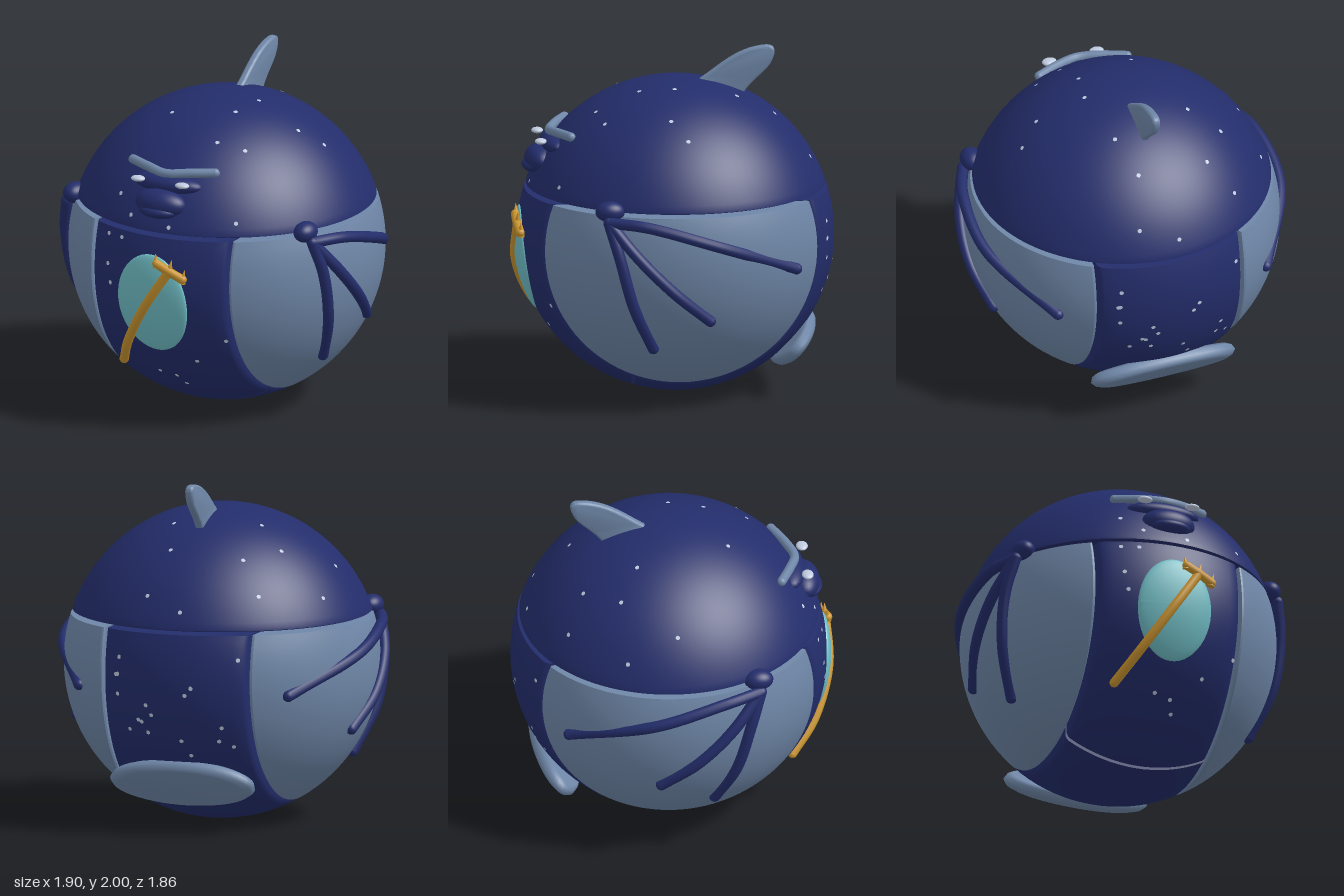
import * as THREE from 'three';
import { toCreasedNormals } from 'three/addons/utils/BufferGeometryUtils.js';

const R = 0.91, CY = 0.91, CZ = -0.02; // main ball
const CUT = 1.18 - CY;                 // height of the body's flat top above the ball centre

const mat = (name, color) => {
  const m = new THREE.MeshStandardMaterial({ color });
  m.name = name;
  return m;
};

// point on the ball (plus lift) above a front-facing x,y or a side-facing z,y
function onFront(x, y, lift = 0) {
  const r = R + lift, dy = y - CY;
  return new THREE.Vector3(x, y, CZ + Math.sqrt(Math.max(0, r * r - x * x - dy * dy)));
}
function onSide(s, z, y, lift = 0) {
  const r = R + lift, dy = y - CY, dz = z - CZ;
  return new THREE.Vector3(s * Math.sqrt(Math.max(0, r * r - dz * dz - dy * dy)), y, z);
}

// closed solid through cross-sections ordered along +x
function loft(rings) {
  const pos = [], n = rings[0].length;
  const tri = (...ps) => ps.forEach((p) => pos.push(p.x, p.y, p.z));
  for (let i = 0; i < rings.length - 1; i++) {
    for (let j = 0; j < n; j++) {
      const k = (j + 1) % n, a = rings[i], b = rings[i + 1];
      tri(a[j], a[k], b[j]);
      tri(a[k], b[k], b[j]);
    }
  }
  [rings[0], rings[rings.length - 1]].forEach((ring, e) => {
    const c = ring.reduce((v, p) => v.add(p), new THREE.Vector3()).divideScalar(n);
    for (let j = 0; j < n; j++) {
      const k = (j + 1) % n;
      if (e) tri(c, ring[j], ring[k]); else tri(c, ring[k], ring[j]);
    }
  });
  const g = new THREE.BufferGeometry();
  g.setAttribute('position', new THREE.Float32BufferAttribute(pos, 3));
  return toCreasedNormals(g, 0.5);
}

// one slice of the ball at x: an arc, plus an optional corner inside
function slice(x, r, range, cornerZ) {
  const [t0, t1] = range(r), pts = [];
  for (let i = 0; i <= 56; i++) {
    const t = t0 + (t1 - t0) * i / 56;
    pts.push(new THREE.Vector3(x, CY + r * Math.cos(t), CZ + r * Math.sin(t)));
  }
  if (cornerZ !== undefined) pts.push(new THREE.Vector3(x, CY + CUT, CZ + cornerZ));
  return pts;
}
const ballR = (x) => Math.sqrt(Math.max(1e-6, R * R - x * x));
const topAngle = (r) => Math.acos(Math.min(1, CUT / r));

export function createModel() {
  const model = new THREE.Group();
  const navy = mat('navy', 0x232d6b), grey = mat('blueGrey', 0x6f87a8), teal = mat('teal', 0x70bfc7);
  const gold = mat('gold', 0xcb952f), pale = mat('paleStar', 0xbfcbe0);

  const add = (name, geo, material, p = [0, 0, 0], scale = [1, 1, 1], parent = model) => {
    const m = new THREE.Mesh(geo, material);
    m.name = name;
    m.position.set(...p);
    m.scale.set(...scale);
    parent.add(m);
    return m;
  };
  const blob = (name, material, p, radii) => add(name, new THREE.SphereGeometry(1, 32, 20), material, p, radii);
  // round-ended rod along points
  const rod = (name, pts, r, material) => {
    const g = new THREE.Group();
    g.name = name;
    add(name + 'Shaft', new THREE.TubeGeometry(new THREE.CatmullRomCurve3(pts), 32, r, 12), material, undefined, undefined, g);
    [pts[0], pts[pts.length - 1]].forEach((p) =>
      add(name + 'End', new THREE.SphereGeometry(r, 14, 10), material, p.toArray(), undefined, g));
    model.add(g);
  };

  // upper dome
  const dome = [[0, 1.2], [0.845, 1.2], [0.858, 1.205]].map((p) => new THREE.Vector2(...p));
  const a0 = Math.asin((1.22 - CY) / R);
  for (let i = 0; i <= 36; i++) {
    const a = a0 + (Math.PI / 2 - a0) * i / 36;
    dome.push(new THREE.Vector2(i === 36 ? 0 : R * Math.cos(a), CY + R * Math.sin(a)));
  }
  add('upperDome', toCreasedNormals(new THREE.LatheGeometry(dome, 96), 0.5), navy, [0, 0, CZ]);

  // middle band, split into a front and a back shell
  const xs = [[-0.43, 0.02], [-0.422, 0.006], [-0.41, 0]];
  for (let i = 1; i < 16; i++) xs.push([-0.41 + 0.82 * i / 16, 0]);
  xs.push([0.41, 0], [0.422, 0.006], [0.43, 0.02]);
  const band = (range, corner) => loft(xs.map(([x, inset]) => slice(x, ballR(x) - inset, range, corner)));
  add('frontBand', band((r) => [topAngle(r), Math.PI - Math.asin(0.28 / r)], 0.28), navy);
  add('backBand', band((r) => [Math.PI - Math.asin(0.26 / r), 2 * Math.PI - topAngle(r)], 0.26), navy);

  // inner connectors seen through the gaps
  add('topConnector', new THREE.BoxGeometry(0.46, 0.1, 0.9), navy, [0, 1.19, 0.2]);
  add('sideConnector', new THREE.CylinderGeometry(0.16, 0.16, 1, 24).rotateZ(Math.PI / 2), navy, [0, 0.81, 0]);

  for (const s of [1, -1]) {
    const side = s > 0 ? 'left' : 'right';
    // side panel
    const px = [[0.447, 0.02], [0.454, 0.006], [0.465, 0]];
    const b0 = Math.asin(0.465 / R);
    for (let i = 1; i <= 30; i++) px.push([R * Math.sin(b0 + (Math.PI / 2 - b0) * i / 30), 0]);
    const rings = px.map(([x, inset]) =>
      slice(s * x, ballR(x) - inset, (r) => [topAngle(r), 2 * Math.PI - topAngle(r)]));
    add(side + 'SidePanel', loft(s > 0 ? rings : rings.reverse()), grey);

    // wing bones fanning over the panel, as [z, y, lift]
    [
      [[0.42, 1.15, 0.04], [0.36, 0.95, 0.02], [0.28, 0.66, 0.01], [0.16, 0.39, 0.005]],
      [[0.42, 1.15, 0.04], [0.25, 0.95, 0.02], [0.05, 0.75, 0.01], [-0.16, 0.57, 0.005]],
      [[0.42, 1.15, 0.04], [0.2, 1.135, 0.035], [-0.2, 1.02, 0.015], [-0.67, 0.825, 0.005]],
    ].forEach((path, i) =>
      rod(side + 'WingBone' + (i + 1), path.map(([z, y, l]) => onSide(s, z, y, l)), 0.033, navy));
    blob(side + 'WingShoulder', navy, onSide(s, 0.41, 1.205, 0.01).toArray(), [0.065, 0.06, 0.085]);

    // eye
    blob(side + 'Eye', pale, [s * 0.145, 1.485, 0.765], [0.043, 0.017, 0.034]);
  }

  // face
  blob('snout', navy, [0, 1.355, 0.755], [0.16, 0.085, 0.095]);
  blob('chin', navy, [0, 1.32, 0.775], [0.125, 0.045, 0.09]);
  blob('eyeRidge', navy, [0, 1.455, 0.67], [0.22, 0.06, 0.09]);
  rod('brow', [[-0.27, 1.535, 0.6], [-0.13, 1.53, 0.665], [0, 1.52, 0.705], [0.13, 1.53, 0.665], [0.27, 1.535, 0.6]]
    .map((p) => new THREE.Vector3(...p)), 0.027, grey);

  // dorsal fin
  const fin = new THREE.Shape();
  fin.moveTo(0.13, 1.79);
  fin.bezierCurveTo(0.25, 1.86, 0.36, 1.99, 0.54, 2.0);
  fin.bezierCurveTo(0.6, 2.0, 0.6, 1.96, 0.57, 1.9);
  fin.bezierCurveTo(0.54, 1.84, 0.46, 1.8, 0.41, 1.72);
  fin.lineTo(0.3, 1.72);
  const finGeo = new THREE.ExtrudeGeometry(fin, {
    depth: 0.014, bevelSize: 0.018, bevelThickness: 0.018, bevelOffset: -0.018, bevelSegments: 4, curveSegments: 16,
  }).translate(0, 0, -0.007).rotateY(Math.PI / 2);
  add('dorsalFin', toCreasedNormals(finGeo, 0.7), grey);

  // tail fin: flat oval lying against the lower back
  const rim = [[0, -0.045], [0.9, -0.045], [0.97, -0.03], [1, 0], [0.95, 0.025], [0.85, 0.04], [0, 0.045]];
  const tail = add('tailFin', new THREE.LatheGeometry(rim.map((p) => new THREE.Vector2(...p)), 48), grey,
    [0, CY - 0.68 * 0.915, CZ - 0.73 * 0.915], [0.44, 1, 0.18]);
  tail.quaternion.setFromUnitVectors(new THREE.Vector3(0, 1, 0), new THREE.Vector3(0, -0.68, -0.73).normalize());

  // belly patch: half ball flattened onto the body
  const belly = new THREE.SphereGeometry(1, 48, 16, 0, Math.PI * 2, 0, Math.PI / 2).rotateX(Math.PI / 2);
  const bp = belly.attributes.position;
  for (let i = 0; i < bp.count; i++) {
    const q = onFront(bp.getX(i) * 0.225, 0.78 + bp.getY(i) * 0.3, -0.004 + 0.028 * Math.sqrt(Math.max(0, bp.getZ(i))));
    bp.setXYZ(i, q.x, q.y, q.z);
  }
  belly.computeVertexNormals();
  add('bellyPatch', belly, teal);

  // trident across the belly
  const front = (pts, lift) => pts.map(([x, y]) => onFront(x, y, lift));
  rod('tridentShaft', front([[-0.295, 0.345], [-0.19, 0.51], [-0.03, 0.76], [0.13, 1.0]], 0.022), 0.027, gold);
  rod('tridentBar', front([[0.055, 1.04], [0.13, 1.005], [0.215, 0.965]], 0.025), 0.026, gold);
  [[0.05, 1.06], [0.14, 1.035], [0.22, 0.985]].forEach(([x, y], i) => {
    const prong = add('tridentProng' + (i + 1), new THREE.ConeGeometry(0.024, 0.085, 10), gold, onFront(x, y, 0.025).toArray());
    prong.rotation.z = i === 0 ? 0.1 : -0.25;
  });

  // stars: small discs on the navy shells
  const starGeo = new THREE.CircleGeometry(0.013, 8), centre = new THREE.Vector3(0, CY, CZ);
  const star = (p) => {
    const d = p.clone().sub(centre).normalize();
    const m = add('star', starGeo, pale, centre.clone().addScaledVector(d, R + 0.004).toArray());
    m.quaternion.setFromUnitVectors(new THREE.Vector3(0, 0, 1), d);
  };
  [[-0.04, -0.84], [0.11, -0.58], [-0.32, -0.55], [-0.45, -0.65], [-0.73, -0.34], [-0.48, -0.35], [-0.32, -0.24],
    [0.17, -0.36], [-0.7, -0.05], [0.22, 0], [0.5, 0.04], [0.62, -0.05], [0.18, 0.2], [-0.18, 0.3], [0.2, 0.45], [0.36, 0.41]]
    .forEach(([x, z]) => star(new THREE.Vector3(x, CY + Math.sqrt(R * R - x * x - (z - CZ) ** 2), z)));
  [[-0.31, 1.14], [-0.21, 1.14], [-0.3, 0.97], [-0.28, 0.86], [0.22, 0.43], [0.05, 0.3], [-0.05, 0.32], [0.08, 0.24],
    [0.41, 0.58], [-0.28, 1.36], [-0.17, 1.27], [0.09, 1.24], [0.45, 1.28]]
    .forEach(([x, y]) => star(onFront(x, y)));
  let seed = 7;
  const rand = () => (seed = (seed * 16807) % 2147483647) / 2147483647;
  for (let i = 0; i < 22; i++) {
    const p = onFront((rand() - 0.5) * 0.78, 0.15 + rand() * (i < 16 ? 0.97 : 1.4));
    if (Math.abs(p.y - 1.19) > 0.04) star(new THREE.Vector3(p.x, p.y, 2 * CZ - p.z));
  }
  return model;
}
